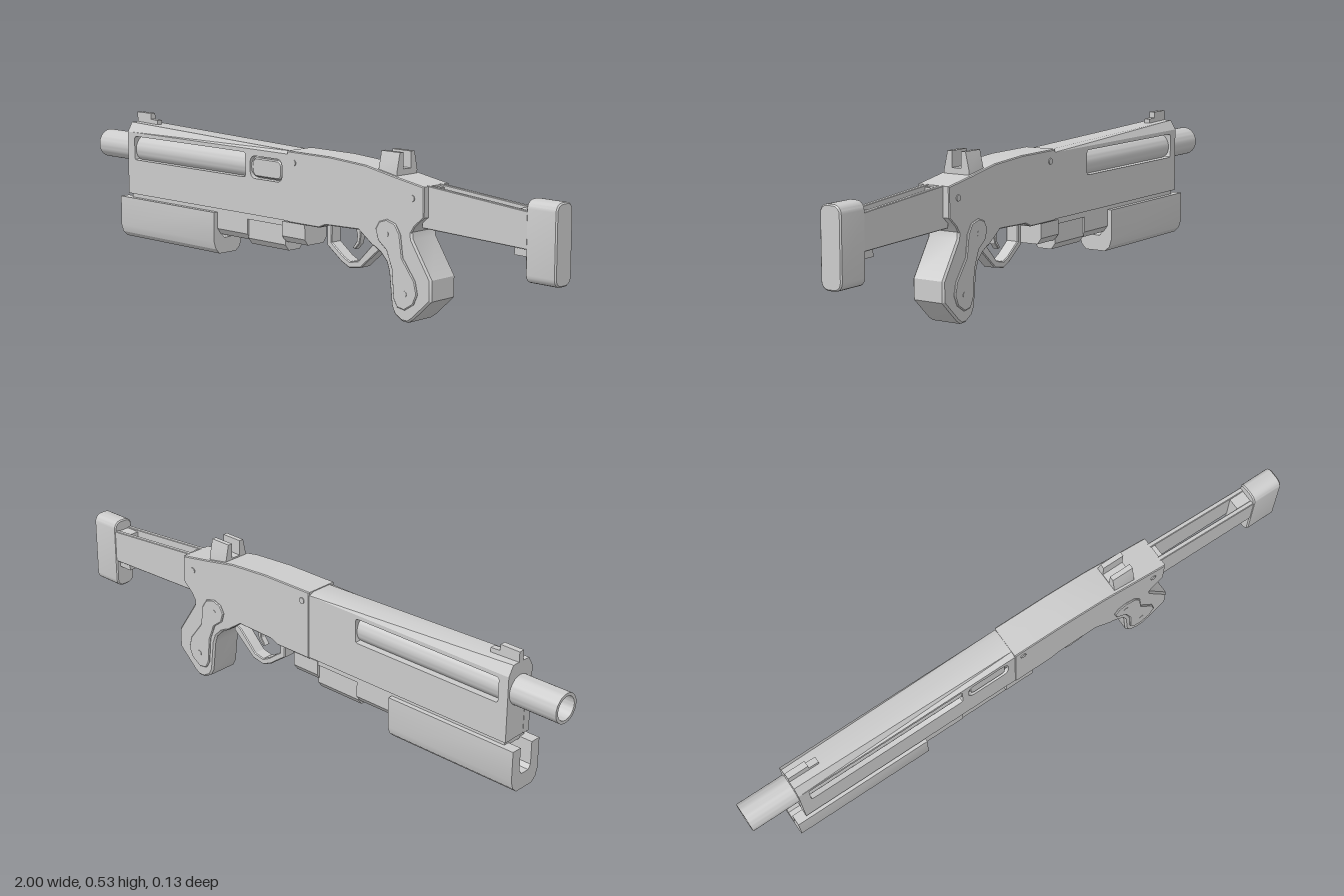
import * as THREE from 'three';
import { toCreasedNormals } from 'three/addons/utils/BufferGeometryUtils.js';

const grey = new THREE.MeshStandardMaterial({ color: 0xcccccc });
const toV = (pts) => pts.map(([x, y]) => new THREE.Vector2(x, y));

// Rounded rectangle as a point list
function roundRect(x0, x1, y0, y1, r, n = 5) {
  const pts = [];
  [[x1 - r, y1 - r], [x0 + r, y1 - r], [x0 + r, y0 + r], [x1 - r, y0 + r]].forEach(([cx, cy], q) => {
    for (let i = 0; i <= n; i++) {
      const a = (q + i / n) * Math.PI / 2;
      pts.push([cx + r * Math.cos(a), cy + r * Math.sin(a)]);
    }
  });
  return pts;
}

function extrude(pts, depth, bevel = 0, holes = []) {
  const shape = new THREE.Shape(toV(pts));
  holes.forEach((h) => shape.holes.push(new THREE.Path(toV(h))));
  const geo = new THREE.ExtrudeGeometry(shape, {
    depth: depth - 2 * bevel, bevelEnabled: bevel > 0, bevelSize: bevel,
    bevelThickness: bevel, bevelOffset: -bevel, bevelSegments: 1,
  });
  return geo.translate(0, 0, bevel);
}

export function createModel() {
  const group = new THREE.Group();
  const add = (name, geo) => {
    const mesh = new THREE.Mesh(toCreasedNormals(geo, 0.5), grey);
    mesh.name = name;
    group.add(mesh);
    return mesh;
  };
  // Side outline (x, y) extruded across z0..z1
  const side = (name, pts, z0, z1, bevel = 0, holes = []) =>
    add(name, extrude(pts, z1 - z0, bevel, holes).translate(0, 0, z0));
  // Cross-section (z, y) extruded along x0..x1
  const along = (name, pts, x0, x1, bevel = 0) =>
    add(name, extrude(pts, x1 - x0, bevel).rotateY(Math.PI / 2).translate(x0, 0, 0));
  const box = (name, x0, x1, y0, y1, hz, zc = 0) =>
    add(name, new THREE.BoxGeometry(x1 - x0, y1 - y0, 2 * hz).translate((x0 + x1) / 2, (y0 + y1) / 2, zc));
  const screw = (x, y, z) => {
    for (const s of [1, -1]) {
      add('screw', new THREE.CylinderGeometry(0.01, 0.01, 0.004, 16).rotateX(Math.PI / 2).translate(x, y, s * z));
    }
  };

  // Hollow barrel
  const L = 0.95;
  add('barrel', new THREE.LatheGeometry(toV([
    [0, 0], [0.048, 0], [0.048, L], [0.038, L], [0.038, L - 0.3], [0, L - 0.3],
  ]), 40).rotateZ(Math.PI / 2).translate(-0.05, 0.406, 0));

  // Fore body: side walls with long windows, and an ejection port on the front side only
  const wall = [[-0.835, 0.25], [-0.04, 0.25], [-0.04, 0.465], [-0.835, 0.465]];
  const window_ = roundRect(-0.8, -0.245, 0.37, 0.452, 0.008, 2);
  const port = roundRect(-0.222, -0.075, 0.37, 0.444, 0.022);
  side('leftWall', wall, 0.028, 0.055, 0, [window_, port]);
  side('rightWall', wall, -0.055, -0.028, 0, [window_]);
  box('bodyCore', -0.834, -0.04, 0.25, 0.362, 0.03);
  box('frontCap', -0.834, -0.802, 0.36, 0.465, 0.03);
  box('bodyUnderside', -0.825, 0.02, 0.23, 0.252, 0.046);
  side('ejectionCover', roundRect(-0.215, -0.082, 0.376, 0.438, 0.018), 0.02, 0.051, 0.004);

  // Chamfered roof, falling gently to the rear
  const roof = extrude([[-0.055, 0.455], [0.055, 0.455], [0.055, 0.465], [0.036, 0.497], [-0.036, 0.497], [-0.055, 0.465]], 0.795)
    .rotateY(Math.PI / 2).translate(-0.835, 0, 0);
  const p = roof.attributes.position;
  for (let i = 0; i < p.count; i++) {
    if (p.getY(i) > 0.48) p.setY(i, p.getY(i) - 0.024 * (p.getX(i) + 0.835) / 0.795);
  }
  roof.computeVertexNormals();
  add('roof', roof);

  // Receiver
  side('receiver', [
    [-0.05, 0.476], [-0.05, 0.246], [0.09, 0.246], [0.12, 0.258], [0.26, 0.262], [0.32, 0.22], [0.42, 0.21],
    [0.48, 0.285], [0.49, 0.3], [0.525, 0.33], [0.525, 0.424], [0.41, 0.443], [0.29, 0.465], [0.14, 0.475],
  ].reverse(), -0.057, 0.057, 0.003);
  screw(-0.02, 0.44, 0.058);
  screw(0.48, 0.385, 0.058);

  // Grip with raised side panels
  side('grip', [
    [0.3, 0.25], [0.315, 0.222], [0.35, 0.203], [0.375, 0.178], [0.385, 0.15], [0.397, 0.045], [0.41, 0.02],
    [0.44, 0.003], [0.465, 0.002], [0.485, 0.015], [0.556, 0.08], [0.556, 0.145], [0.48, 0.26], [0.475, 0.3], [0.36, 0.3],
  ], -0.057, 0.057, 0.006);
  const panel = [
    [0.335, 0.275], [0.345, 0.242], [0.38, 0.215], [0.402, 0.16], [0.41, 0.07], [0.425, 0.045], [0.455, 0.04],
    [0.49, 0.062], [0.505, 0.095], [0.495, 0.135], [0.445, 0.2], [0.435, 0.27], [0.415, 0.3], [0.38, 0.31], [0.35, 0.3],
  ];
  side('leftGripPanel', panel, 0.05, 0.062, 0.003);
  side('rightGripPanel', panel, -0.062, -0.05, 0.003);
  screw(0.38, 0.265, 0.061);
  screw(0.455, 0.09, 0.061);

  // Trigger guard and trigger
  side('triggerGuard', [
    [0.092, 0.255], [0.092, 0.187], [0.155, 0.142], [0.19, 0.126], [0.238, 0.134], [0.325, 0.208], [0.325, 0.235],
    [0.295, 0.222], [0.228, 0.155], [0.192, 0.147], [0.165, 0.16], [0.113, 0.198], [0.113, 0.255],
  ], -0.022, 0.022, 0.003);
  side('trigger', [
    [0.2, 0.27], [0.212, 0.235], [0.21, 0.212], [0.193, 0.19], [0.203, 0.187], [0.222, 0.207], [0.228, 0.235], [0.226, 0.27],
  ], -0.011, 0.011, 0.002);

  // Pump: a channel with a rounded underside and an open slot on top
  along('pump', [
    [-0.062, 0.236], [-0.062, 0.135], [-0.054, 0.11], [-0.037, 0.094], [0.037, 0.094], [0.054, 0.11],
    [0.062, 0.135], [0.062, 0.236], [0.026, 0.236], [0.026, 0.16], [0.016, 0.146],
    [-0.016, 0.146], [-0.026, 0.16], [-0.026, 0.236],
  ], -0.87, -0.39);

  // Stepped lower rail behind the pump
  const railSection = (hz, y0) => [[-hz, 0.245], [-hz, y0 + 0.02], [-hz + 0.015, y0], [hz - 0.015, y0], [hz, y0 + 0.02], [hz, 0.245]];
  along('lowerRailFront', railSection(0.046, 0.16), -0.4, -0.245);
  along('lowerRailMiddle', railSection(0.04, 0.146), -0.247, -0.075);
  along('lowerRailRear', railSection(0.05, 0.177), -0.08, 0.022);

  // Skeleton stock: two plates joined at both ends
  const plate = [[0.5, 0.295], [0.84, 0.285], [0.9, 0.283], [0.9, 0.394], [0.5, 0.427]];
  side('leftStockPlate', plate, 0.02, 0.035, 0.002);
  side('rightStockPlate', plate, -0.035, -0.02, 0.002);
  side('stockFrontBlock', [[0.5, 0.31], [0.54, 0.31], [0.54, 0.418], [0.5, 0.42]], -0.022, 0.022);
  box('stockRearBlock', 0.84, 0.9, 0.26, 0.392, 0.022);
  along('buttPad', roundRect(-0.037, 0.037, 0.185, 0.428, 0.026), 0.892, 1, 0.004);

  // Rear sight with a notch
  along('rearSight', [
    [-0.046, 0.435], [0.046, 0.435], [0.046, 0.455], [0.033, 0.513], [0.017, 0.513], [0.017, 0.462],
    [-0.017, 0.462], [-0.017, 0.513], [-0.033, 0.513], [-0.046, 0.455],
  ], 0.333, 0.408);

  // Front sight, a tall blade with a lower step
  side('frontSight', [
    [-0.835, 0.47], [-0.73, 0.47], [-0.73, 0.508], [-0.765, 0.51], [-0.765, 0.53], [-0.835, 0.53],
  ], -0.01, 0.01);

  return group;
}
